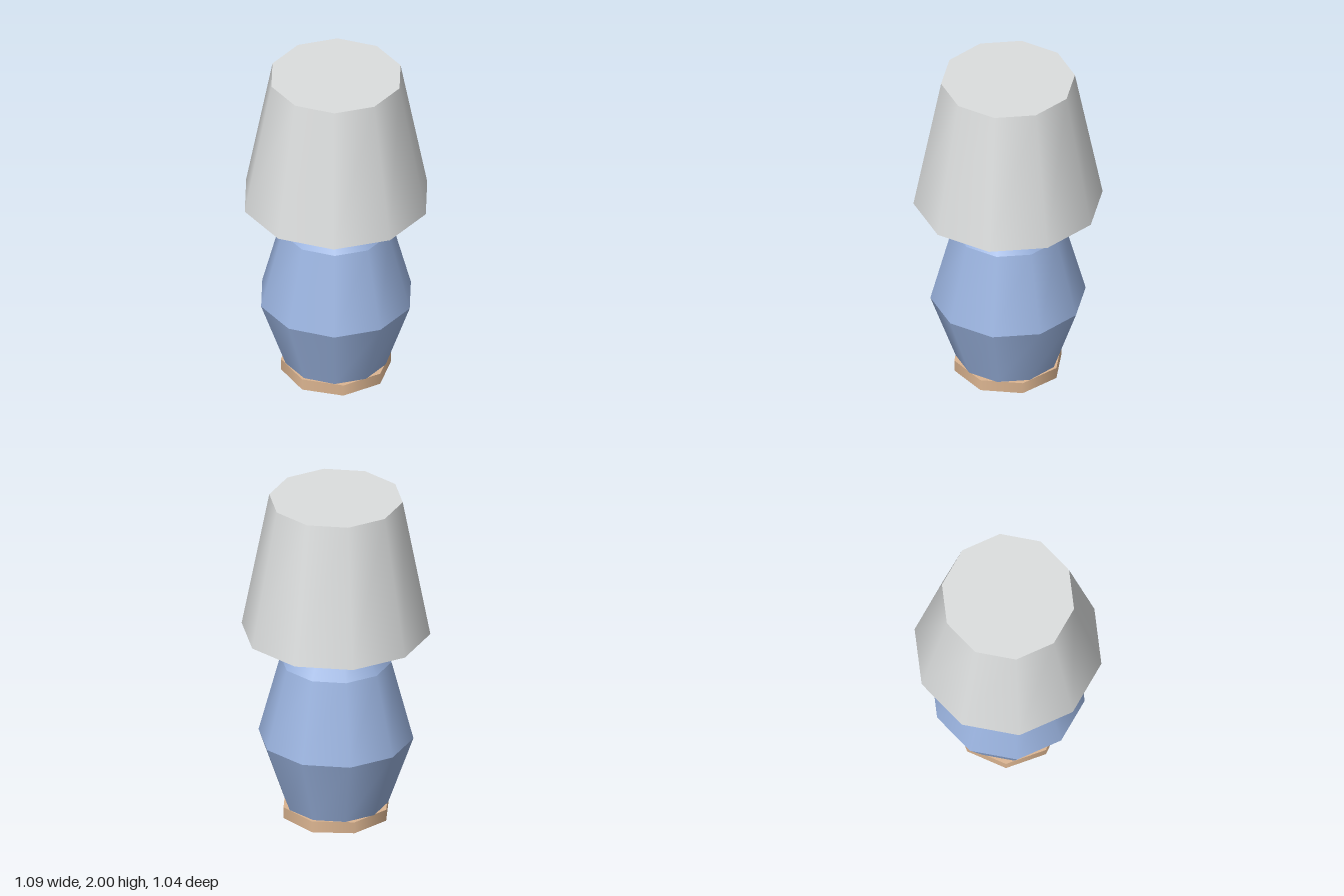
import * as THREE from 'three';

export function createModel() {
  const lamp = new THREE.Group();
  lamp.name = 'tableLamp';

  const material = (name, color) => {
    const m = new THREE.MeshStandardMaterial({ color });
    m.name = name;
    return m;
  };
  const shadeGrey = material('shadeGrey', 0xdcdede);
  const ceramicBlue = material('ceramicBlue', 0x9bb4e0);
  const woodTan = material('woodTan', 0xdcb591);

  // Tapered ring standing between two heights, with a corner on the x axis
  const frustum = (name, mat, sides, y0, r0, y1, r1, open = false) => {
    const geometry = new THREE.CylinderGeometry(r1, r0, y1 - y0, sides, 1, open, Math.PI / 2);
    const mesh = new THREE.Mesh(geometry, mat);
    mesh.name = name;
    mesh.position.y = (y0 + y1) / 2;
    return mesh;
  };

  // Octagonal foot
  lamp.add(frustum('base', woodTan, 8, 0, 0.32, 0.07, 0.32));

  // Ten-sided body: three stacked bands with crisp edges between them
  const body = new THREE.Group();
  body.name = 'body';
  const profile = [[0.07, 0.302], [0.49, 0.449], [0.97, 0.322], [1.17, 0.198]];
  const bands = ['lowerBody', 'upperBody', 'shoulder'];
  bands.forEach((name, i) => {
    body.add(frustum(name, ceramicBlue, 10, ...profile[i], ...profile[i + 1], true));
  });
  lamp.add(body);

  // Closed ten-sided shade
  lamp.add(frustum('shade', shadeGrey, 10, 1.165, 0.547, 2, 0.387));

  return lamp;
}
